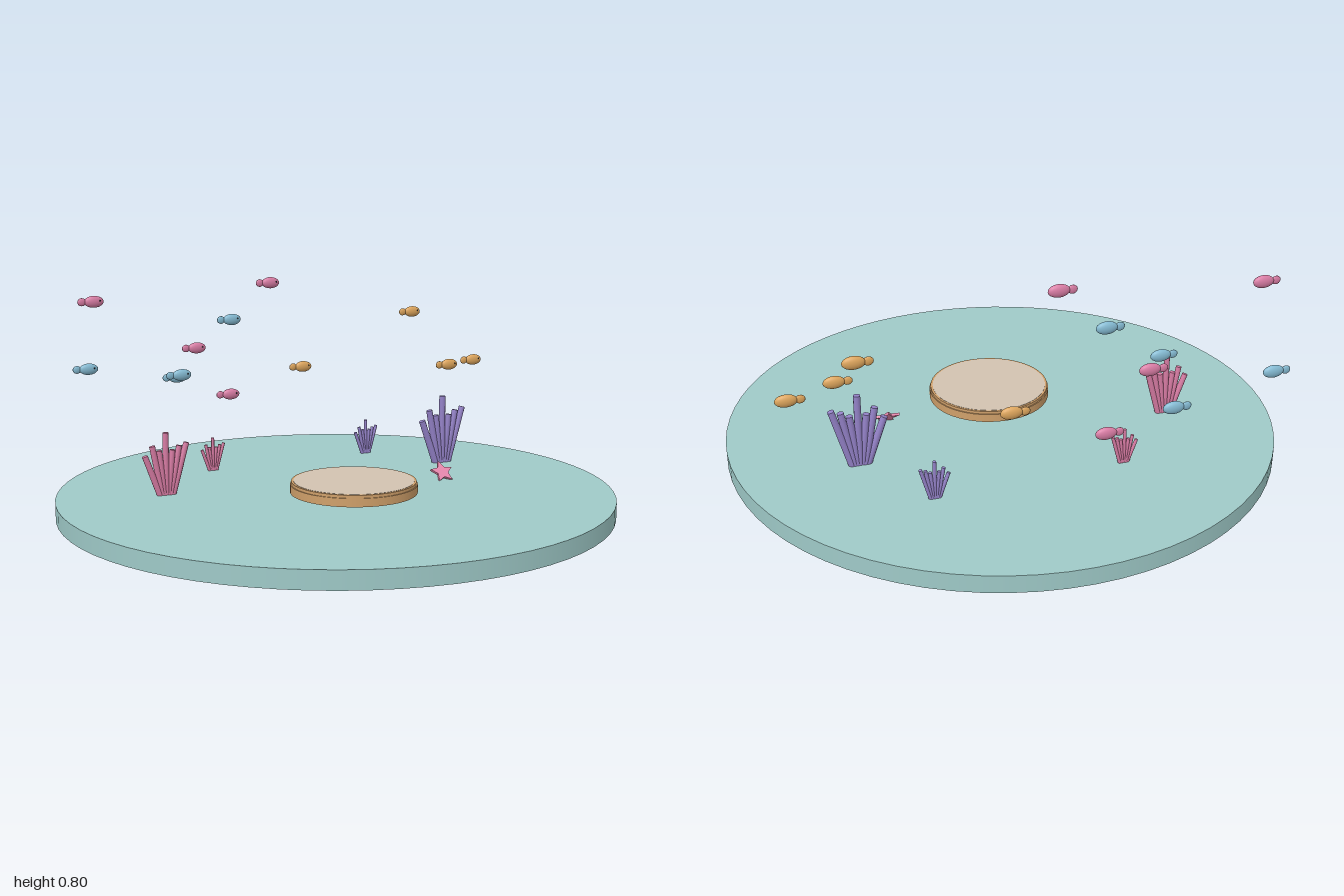
import * as THREE from 'three';

const mat = (name, color) => {
  const m = new THREE.MeshStandardMaterial({ color });
  m.name = name;
  return m;
};

export function createModel() {
  const M = {
    floor: mat('seafoam', 0x9fcac8),
    sand: mat('sand', 0xd3c3b1),
    wood: mat('tan', 0xd0a06a),
    pink: mat('pink', 0xd87ca4),
    purple: mat('purple', 0x9482c8),
    blue: mat('blue', 0x84bad2),
    orange: mat('orange', 0xdda55c),
    star: mat('starPink', 0xf08cb4),
    eye: mat('dark', 0x22252a),
  };
  const model = new THREE.Group();
  model.name = 'reefScene';

  const add = (parent, name, geo, material, x = 0, y = 0, z = 0) => {
    const mesh = new THREE.Mesh(geo, material);
    mesh.name = name;
    mesh.position.set(x, y, z);
    parent.add(mesh);
    return mesh;
  };

  // Sea floor disc
  add(model, 'seaFloor', new THREE.CylinderGeometry(1, 1, 0.062, 72), M.floor, 0, 0.031, 0);

  // Round platform hovering just over the floor
  add(model, 'platformBase', new THREE.CylinderGeometry(0.226, 0.226, 0.03, 48), M.wood, 0, 0.092, 0.146);
  add(model, 'platformRim', new THREE.CylinderGeometry(0.222, 0.222, 0.011, 48), M.wood, 0, 0.112, 0.146);
  add(model, 'platformTop', new THREE.CylinderGeometry(0.214, 0.214, 0.004, 48), M.sand, 0, 0.1165, 0.146);

  // Fan corals: [x, z, height, material]; branch tips are relative to the height
  const tips = [[-0.34, 0.65], [-0.22, 0.8], [-0.11, 0.72], [0, 1], [0.11, 0.72], [0.22, 0.78], [0.34, 0.82]];
  const up = new THREE.Vector3(0, 1, 0);
  const corals = [
    [-0.593, -0.155, 0.226, M.pink], [-0.31, -0.452, 0.13, M.pink],
    [0.565, -0.2, 0.268, M.purple], [0.37, -0.485, 0.14, M.purple],
  ];
  for (const [x, z, h, material] of corals) {
    const coral = new THREE.Group();
    coral.name = 'coral';
    coral.position.set(x, 0.06, z);
    for (const [tx, ty] of tips) {
      const a = new THREE.Vector3(tx * 0.3 * h, 0, 0);
      const b = new THREE.Vector3(tx * h, ty * h, 0);
      const dir = b.clone().sub(a);
      const geo = new THREE.CylinderGeometry(0.046 * h, 0.052 * h, dir.length(), 10);
      const branch = add(coral, 'coralBranch', geo, material);
      branch.position.copy(a).add(b).multiplyScalar(0.5);
      branch.quaternion.setFromUnitVectors(up, dir.normalize());
    }
    model.add(coral);
  }

  // Starfish leaning back
  const shape = new THREE.Shape();
  for (let i = 0; i < 10; i++) {
    const r = i % 2 ? 0.023 : 0.047;
    const a = Math.PI / 2 + i * Math.PI / 5;
    shape[i ? 'lineTo' : 'moveTo'](r * Math.cos(a), r * Math.sin(a));
  }
  shape.closePath();
  const starGeo = new THREE.ExtrudeGeometry(shape, { depth: 0.01, bevelEnabled: false });
  starGeo.translate(0, 0, -0.005);
  add(model, 'starfish', starGeo, M.star, 0.415, 0.087, 0.057).rotation.x = -Math.PI / 4;

  // Fish, all swimming towards +x
  const body = new THREE.SphereGeometry(1, 20, 14).scale(0.037, 0.022, 0.0135);
  const tail = new THREE.SphereGeometry(1, 12, 8).scale(0.017, 0.015, 0.006);
  const eye = new THREE.SphereGeometry(0.0035, 8, 6);
  const school = [
    [-0.745, 0.723, -0.545, M.pink], [-0.31, 0.516, -0.652, M.pink],
    [-0.163, 0.318, -0.668, M.pink], [-0.04, 0.773, -0.537, M.pink],
    [-0.742, 0.455, -0.668, M.blue], [-0.447, 0.445, -0.433, M.blue],
    [-0.376, 0.396, -0.703, M.blue], [-0.198, 0.633, -0.553, M.blue],
    [0.14, 0.418, -0.626, M.orange], [0.616, 0.631, -0.564, M.orange],
    [0.64, 0.438, -0.297, M.orange], [0.806, 0.438, -0.38, M.orange],
  ];
  for (const [x, y, z, material] of school) {
    const fish = new THREE.Group();
    fish.name = 'fish';
    fish.position.set(x, y, z);
    add(fish, 'fishBody', body, material, 0.012);
    add(fish, 'fishTail', tail, material, -0.033);
    add(fish, 'fishEye', eye, M.eye, 0.033, 0.004, 0.0095);
    model.add(fish);
  }
  return model;
}
